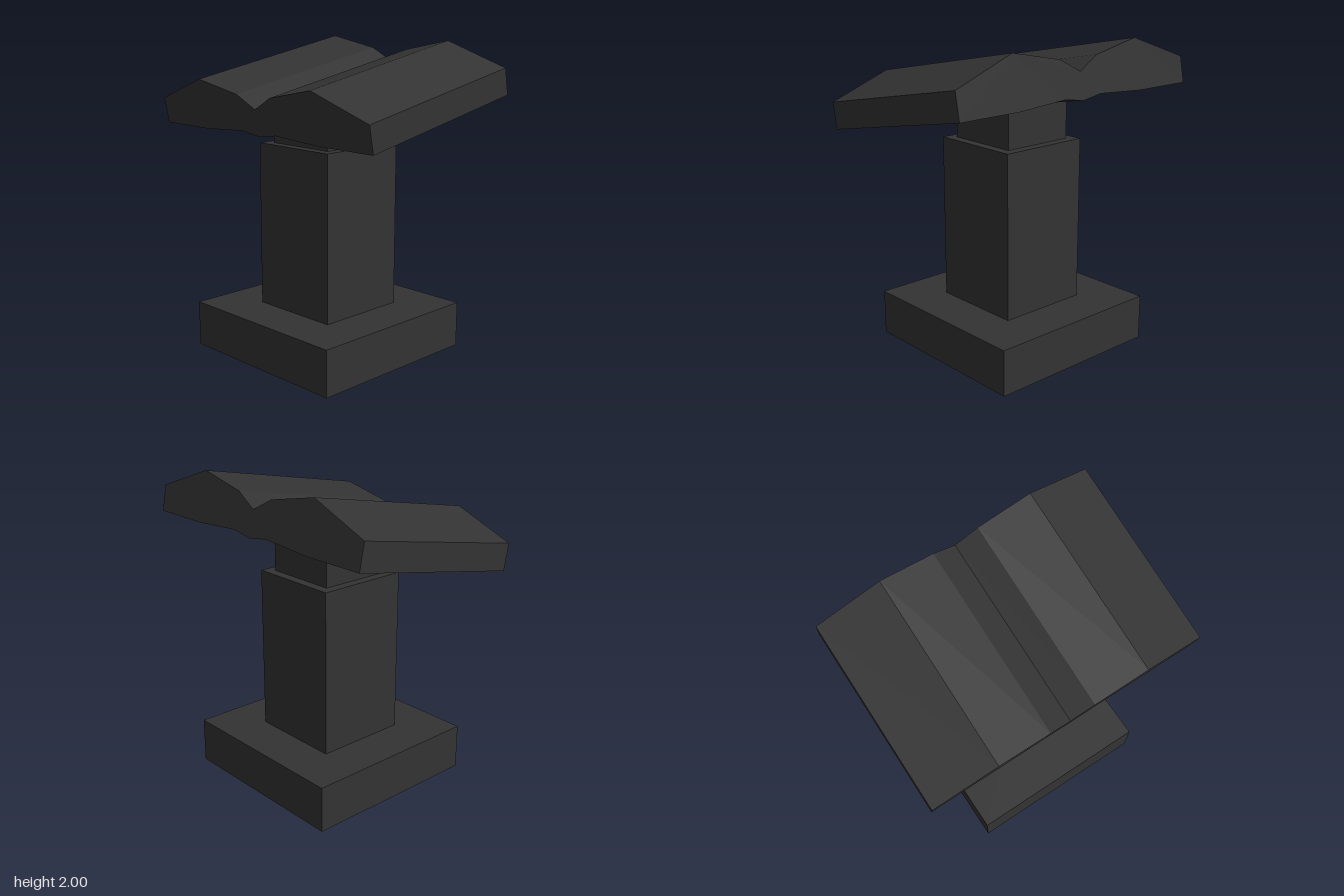
import * as THREE from 'three';

const material = new THREE.MeshStandardMaterial({ color: 0x333333, flatShading: true });

function add(group, name, geometry) {
  const mesh = new THREE.Mesh(geometry, material);
  mesh.name = name;
  group.add(mesh);
  return mesh;
}

// Square block standing between two heights
function block(group, name, width, y0, y1) {
  add(group, name, new THREE.BoxGeometry(width, y1 - y0, width))
    .position.set(0, (y0 + y1) / 2, -0.004);
}

export function createModel() {
  const group = new THREE.Group();
  group.name = 'bookPedestal';

  // Stepped pedestal; the neck runs up into the book
  block(group, 'base', 1.206, 0, 0.295);
  block(group, 'column', 0.614, 0.295, 1.36);
  block(group, 'neck', 0.488, 1.36, 1.62);

  // Open book: right half of the section, mirrored about the spine
  const bottom = [[0.15, -0.138], [0.5, -0.16], [0.92, -0.16]];
  const top = [[0.92, 0.008], [0.5, 0.16], [0.15, 0.09]];
  const half = [[0, -0.16], ...bottom, ...top, [0, 0.008]];
  const mirrored = [...bottom, ...top].reverse().map(([x, y]) => [-x, y]);
  const section = new THREE.Shape([...half, ...mirrored].map(([x, y]) => new THREE.Vector2(x, y)));
  const length = 1.212;
  const pages = new THREE.ExtrudeGeometry(section, { depth: length, bevelEnabled: false });
  pages.translate(0, 0, -length / 2);

  // Tilt the book down towards the reader
  const book = add(group, 'openBook', pages);
  book.rotation.x = 0.191;
  book.position.y = 1.728;

  return group;
}
